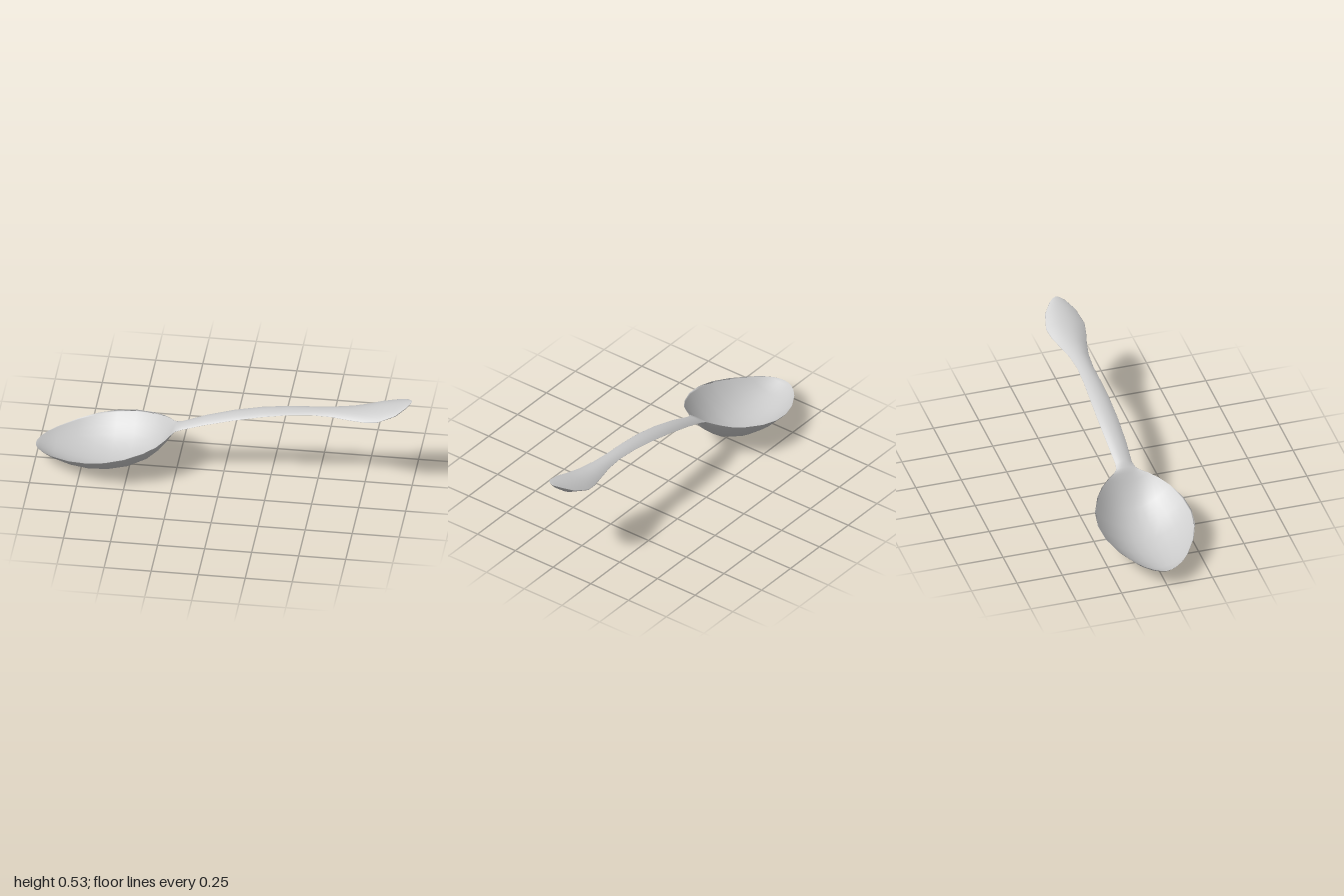
import * as THREE from 'three';

// Cross-sections along x: [x, half width, rim height, underside height, upper face height]
const bowlStations = [
  [-1.0, 0.0, 0.094, 0.094, 0.094],
  [-0.995, 0.03, 0.096, 0.089, 0.094],
  [-0.98, 0.062, 0.099, 0.079, 0.087],
  [-0.95, 0.102, 0.104, 0.062, 0.072],
  [-0.9, 0.146, 0.111, 0.04, 0.052],
  [-0.8, 0.208, 0.129, 0.014, 0.028],
  [-0.7, 0.246, 0.148, 0.003, 0.018],
  [-0.6, 0.258, 0.167, 0.008, 0.023],
  [-0.5, 0.244, 0.187, 0.03, 0.046],
  [-0.4, 0.2, 0.208, 0.078, 0.096],
  [-0.34, 0.157, 0.224, 0.132, 0.152],
  [-0.3, 0.112, 0.239, 0.182, 0.204],
  [-0.275, 0.073, 0.25, 0.218, 0.241],
  [-0.255, 0.052, 0.26, 0.242, 0.267],
];
const handleStations = [
  [-0.22, 0.045, 0.271, 0.258, 0.286],
  [-0.1, 0.051, 0.315, 0.3, 0.332],
  [0.05, 0.054, 0.359, 0.345, 0.376],
  [0.2, 0.052, 0.393, 0.38, 0.409],
  [0.35, 0.046, 0.416, 0.402, 0.429],
  [0.47, 0.043, 0.425, 0.411, 0.439],
  [0.58, 0.052, 0.428, 0.412, 0.447],
  [0.68, 0.073, 0.429, 0.409, 0.455],
  [0.76, 0.094, 0.436, 0.41, 0.466],
  [0.83, 0.106, 0.451, 0.417, 0.483],
  [0.92, 0.084, 0.485, 0.452, 0.506],
  [0.975, 0.042, 0.516, 0.498, 0.523],
  [0.994, 0.018, 0.527, 0.521, 0.529],
  [1.0, 0.0, 0.529, 0.529, 0.529],
];

const HALF = 14; // segments across each face
const RING = HALF * 2;

// One closed ring: underside from -z to +z, then the upper face back again
function ringPoints([x, w, rim, under, upper]) {
  const points = [];
  for (let j = 0; j < RING; j++) {
    const u = -Math.cos((j / HALF) * Math.PI);
    const centre = j < HALF ? under : upper;
    const y = rim + (centre - rim) * (1 - Math.abs(u) ** 2.1);
    points.push(x, y, u * w);
  }
  return points;
}

// Triangles joining the rings from one station to another
function skinIndex(from, to) {
  const index = [];
  for (let i = from; i < to; i++) {
    for (let j = 0; j < RING; j++) {
      const k = (j + 1) % RING;
      const a = i * RING + j, b = i * RING + k;
      const c = a + RING, d = b + RING;
      index.push(a, c, b, b, c, d);
    }
  }
  return index;
}

export function createModel() {
  const group = new THREE.Group();
  group.name = 'spoon';
  const stations = [...bowlStations, ...handleStations];
  const last = stations.length - 1;
  const neck = bowlStations.length - 1;

  // Whole skin first, so the normals run smoothly through the neck
  const skin = new THREE.BufferGeometry();
  skin.setAttribute('position', new THREE.Float32BufferAttribute(stations.flatMap(ringPoints), 3));
  skin.setIndex(skinIndex(0, last));
  skin.computeVertexNormals();

  const material = new THREE.MeshStandardMaterial({ color: 0xcccccc, side: THREE.DoubleSide });
  for (const [name, from, to] of [['bowl', 0, neck], ['handle', neck, last]]) {
    const geometry = skin.clone();
    geometry.setIndex(skinIndex(from, to));
    const mesh = new THREE.Mesh(geometry, material);
    mesh.name = name;
    group.add(mesh);
  }
  return group;
}
